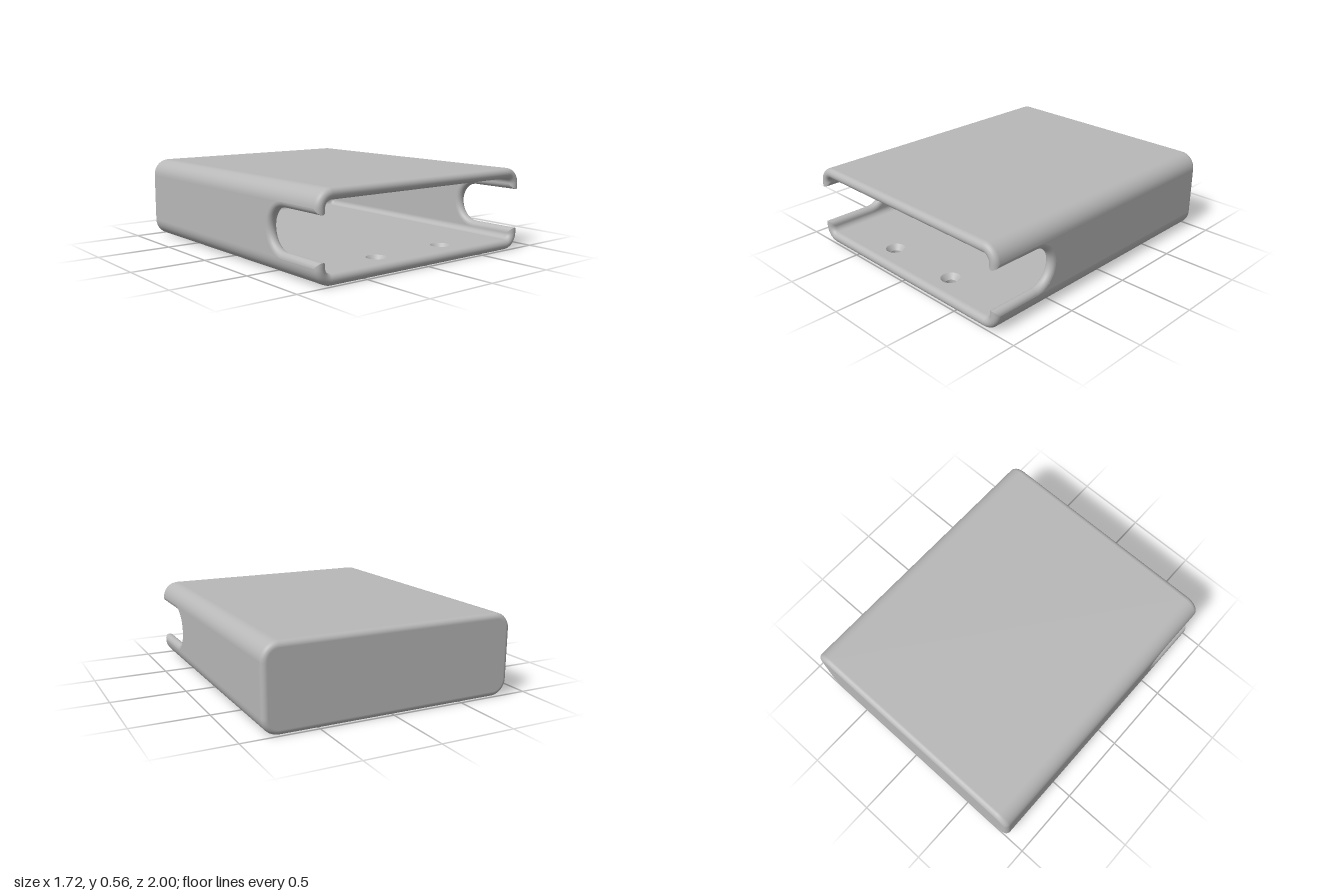
import * as THREE from 'three';

// Overall sizes: a rounded box shell, open at the front, with a thumb slot in each side
const HALF_W = 0.86, HEIGHT = 0.555, WALL = 0.07, CORNER = 0.11, LIP = WALL / 2;
const CX = HALF_W - CORNER, Y0 = CORNER, Y1 = HEIGHT - CORNER, MID = HEIGHT / 2;
const FRONT = 1 - LIP, BACK = -1 + LIP, INNER_BACK = -0.9;
const SLOT_Z = 0.66, SLOT_R = (Y1 - Y0) / 2;
const HOLE_X = 0.28, HOLE_Z = 0.83, HOLE_TOP = 0.065, HOLE_BOTTOM = 0.035;
const ARC = 14, ROUND = 12;

const steps = (n, fn) => Array.from({ length: n + 1 }, (_, i) => fn(i / n));

// Surface through rows of points
function grid(rows) {
  const n = rows[0].length, index = [];
  for (let i = 0; i < rows.length - 1; i++)
    for (let j = 0; j < n - 1; j++) {
      const a = i * n + j, b = a + n;
      index.push(a, b, a + 1, b, b + 1, a + 1);
    }
  const g = new THREE.BufferGeometry();
  g.setAttribute('position', new THREE.Float32BufferAttribute(rows.flat(2), 3));
  g.setIndex(index);
  g.computeVertexNormals();
  return g;
}

// Quarter arc of radius r round corner q (0 upper left, going round the section)
function arc(q, r) {
  const x = q === 0 || q === 3 ? CX : -CX, y = q < 2 ? Y1 : Y0;
  return steps(ARC, (t) => {
    const a = (q + t) * Math.PI / 2;
    return [x + r * Math.cos(a), y + r * Math.sin(a)];
  });
}

// Closed rounded-rectangle section
const section = (r) => [0, 1, 2, 3].flatMap((q) => arc(q, r));
const ring = (r, z) => {
  const p = section(r);
  return [...p, p[0]].map(([x, y]) => [x, y, z]);
};

export function createModel() {
  const group = new THREE.Group();
  const grey = new THREE.MeshStandardMaterial({ color: 0xb8b8b8, side: THREE.DoubleSide });
  grey.name = 'grey';
  const add = (geometry, name) => {
    const mesh = new THREE.Mesh(geometry, grey);
    mesh.name = name;
    group.add(mesh);
    return mesh;
  };

  // Outer and inner skins
  const skins = [
    { name: 'outer', r: CORNER, back: BACK, round: LIP, hole: HOLE_BOTTOM, out: 1 },
    { name: 'inner', r: CORNER - WALL, back: INNER_BACK, round: 0.03, hole: HOLE_TOP, out: -1 },
  ];
  for (const { name, r, back, round, hole, out } of skins) {
    // Long rounded corners
    for (let q = 0; q < 4; q++) {
      const p = arc(q, r);
      add(grid([FRONT, back].map((z) => p.map(([x, y]) => [x, y, z]))), name + 'Corner');
    }

    // Top panel and floor, the floor pierced by two screw holes
    for (const top of [true, false]) {
      const s = new THREE.Shape();
      s.moveTo(-CX, back).lineTo(CX, back).lineTo(CX, FRONT).lineTo(-CX, FRONT).closePath();
      if (!top) for (const x of [-HOLE_X, HOLE_X])
        s.holes.push(new THREE.Path().absarc(x, HOLE_Z, hole, 0, Math.PI * 2, true));
      const g = new THREE.ShapeGeometry(s, 16).rotateX(Math.PI / 2);
      if (top === (out > 0)) flip(g);
      add(g, name + (top ? 'Top' : 'Floor')).position.y = top ? Y1 + r : Y0 - r;
    }

    // Side walls, ending in the round end of the slot
    for (const side of [-1, 1]) {
      const s = new THREE.Shape();
      s.moveTo(back, Y0).lineTo(SLOT_Z, Y0);
      s.absarc(SLOT_Z, MID, SLOT_R, -Math.PI / 2, -Math.PI * 1.5, true);
      s.lineTo(back, Y1).closePath();
      const g = new THREE.ShapeGeometry(s, 24).rotateY(-Math.PI / 2);
      if (side * out > 0) flip(g);
      add(g, name + 'Side').position.x = side * (CX + r);
    }

    // Rounded back edge and back panel
    add(grid(steps(ROUND, (t) => {
      const a = t * Math.PI / 2;
      return ring(r - round * (1 - Math.cos(a)), back - round * Math.sin(a));
    })), name + 'BackEdge');
    const cap = new THREE.ShapeGeometry(
      new THREE.Shape(section(r - round).map(([x, y]) => new THREE.Vector2(x, y))));
    if (out > 0) flip(cap);
    add(cap, name + 'Back').position.z = back - round;
  }

  // Rounded front lips above and below the slots, mitred where they meet the slot lips
  for (const q of [0, 2]) {
    const dir = q === 0 ? -1 : 1;
    add(grid(steps(ROUND, (t) => {
      const r = CORNER - LIP + LIP * Math.cos(t * Math.PI), d = LIP * Math.sin(t * Math.PI);
      const p = [...arc(q, r), ...arc(q + 1, r)];
      const first = p[0], last = p[p.length - 1];
      return [[first[0], first[1] + dir * d], ...p, [last[0], last[1] + dir * d]]
        .map(([x, y]) => [x, y, FRONT + d]);
    })), q === 0 ? 'upperFrontLip' : 'lowerFrontLip');
  }

  // Rounded lips round each U-shaped slot
  for (const side of [-1, 1]) {
    add(grid(steps(ROUND, (t) => {
      const d = LIP * Math.sin(t * Math.PI), h = SLOT_R - d;
      const x = side * (HALF_W - LIP + LIP * Math.cos(t * Math.PI));
      const bend = steps(28, (u) => {
        const a = Math.PI / 2 + u * Math.PI;
        return [x, MID + h * Math.sin(a), SLOT_Z + h * Math.cos(a)];
      });
      return [[x, MID + h, FRONT + d], ...bend, [x, MID - h, FRONT + d]];
    })), 'slotLip');
  }

  // Countersunk screw holes
  const sink = [[HOLE_BOTTOM, 0, HOLE_BOTTOM, 0.035], [HOLE_BOTTOM, 0.035, HOLE_TOP, WALL]];
  for (const x of [-HOLE_X, HOLE_X])
    for (const [r0, y0, r1, y1] of sink) {
      const g = new THREE.CylinderGeometry(r1, r0, y1 - y0, 32, 1, true);
      flip(g);
      add(g, 'screwHole').position.set(x, (y0 + y1) / 2, HOLE_Z);
    }

  return group;
}

// Turn a surface to face the other way
function flip(g) {
  const i = g.index.array;
  for (let k = 0; k < i.length; k += 3) [i[k], i[k + 1]] = [i[k + 1], i[k]];
  g.computeVertexNormals();
}
